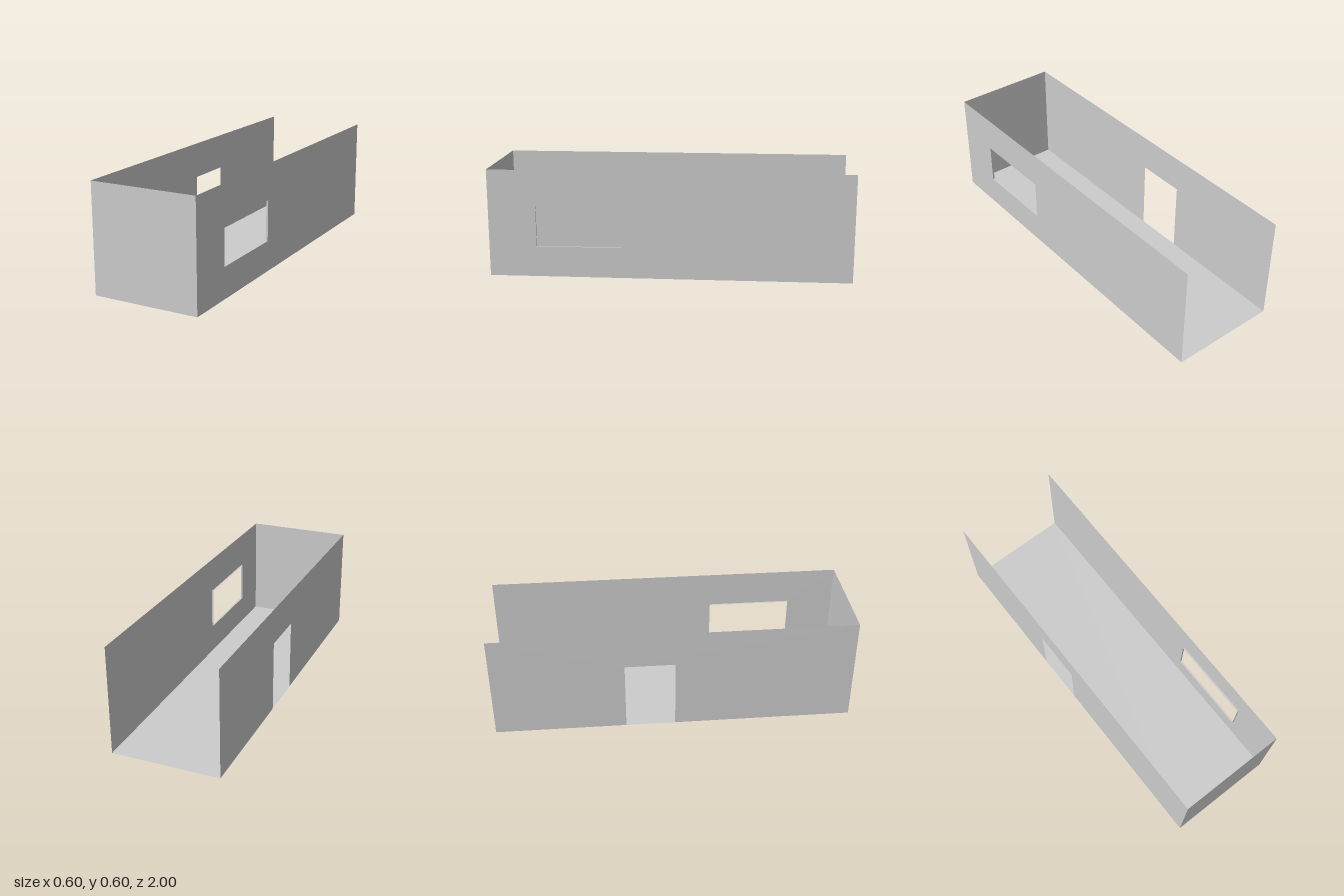
import * as THREE from 'three';

const W = 0.6, H = 0.6, L = 2;
const win = { z0: 0.265, z1: 0.735, y0: 0.172, y1: 0.4, depth: 0.01 };
const door = { z0: -0.272, z1: 0.004, y1: 0.4 };

export function createModel() {
  const group = new THREE.Group();
  const material = new THREE.MeshStandardMaterial({ color: 0xcccccc, side: THREE.DoubleSide, flatShading: true });

  const add = (name, geometry, parent = group) => {
    const mesh = new THREE.Mesh(geometry, material);
    mesh.name = name;
    parent.add(mesh);
    return mesh;
  };

  const points = (list) => list.map(([a, b]) => new THREE.Vector2(a, b));

  // Thin side wall, drawn in (z, y) and stood at the given x
  const sideWall = (name, x, outline, hole) => {
    const shape = new THREE.Shape(points(outline));
    if (hole) shape.holes.push(new THREE.Path(points(hole)));
    add(name, new THREE.ShapeGeometry(shape).rotateY(-Math.PI / 2).translate(x, 0, 0));
  };

  // Floor and front end wall; the top and back stay open
  add('floor', new THREE.PlaneGeometry(W, L).rotateX(-Math.PI / 2));
  add('frontWall', new THREE.PlaneGeometry(W, H).translate(0, H / 2, L / 2));

  // Wall with the window opening
  sideWall('windowWall', W / 2,
    [[-L / 2, 0], [L / 2, 0], [L / 2, H], [-L / 2, H]],
    [[win.z0, win.y0], [win.z0, win.y1], [win.z1, win.y1], [win.z1, win.y0]]);

  // Wall with the doorway cut up from the floor
  sideWall('doorWall', -W / 2, [
    [-L / 2, 0], [door.z0, 0], [door.z0, door.y1], [door.z1, door.y1],
    [door.z1, 0], [L / 2, 0], [L / 2, H], [-L / 2, H],
  ]);

  // Shallow lip running inwards round the window
  const frame = new THREE.Group();
  frame.name = 'windowFrame';
  group.add(frame);
  const x = W / 2 - win.depth / 2;
  const midZ = (win.z0 + win.z1) / 2, midY = (win.y0 + win.y1) / 2;
  for (const y of [win.y0, win.y1])
    add(y === win.y0 ? 'windowSill' : 'windowHead',
      new THREE.PlaneGeometry(win.depth, win.z1 - win.z0).rotateX(-Math.PI / 2).translate(x, y, midZ), frame);
  for (const z of [win.z0, win.z1])
    add('windowJamb', new THREE.PlaneGeometry(win.depth, win.y1 - win.y0).translate(x, midY, z), frame);

  return group;
}
